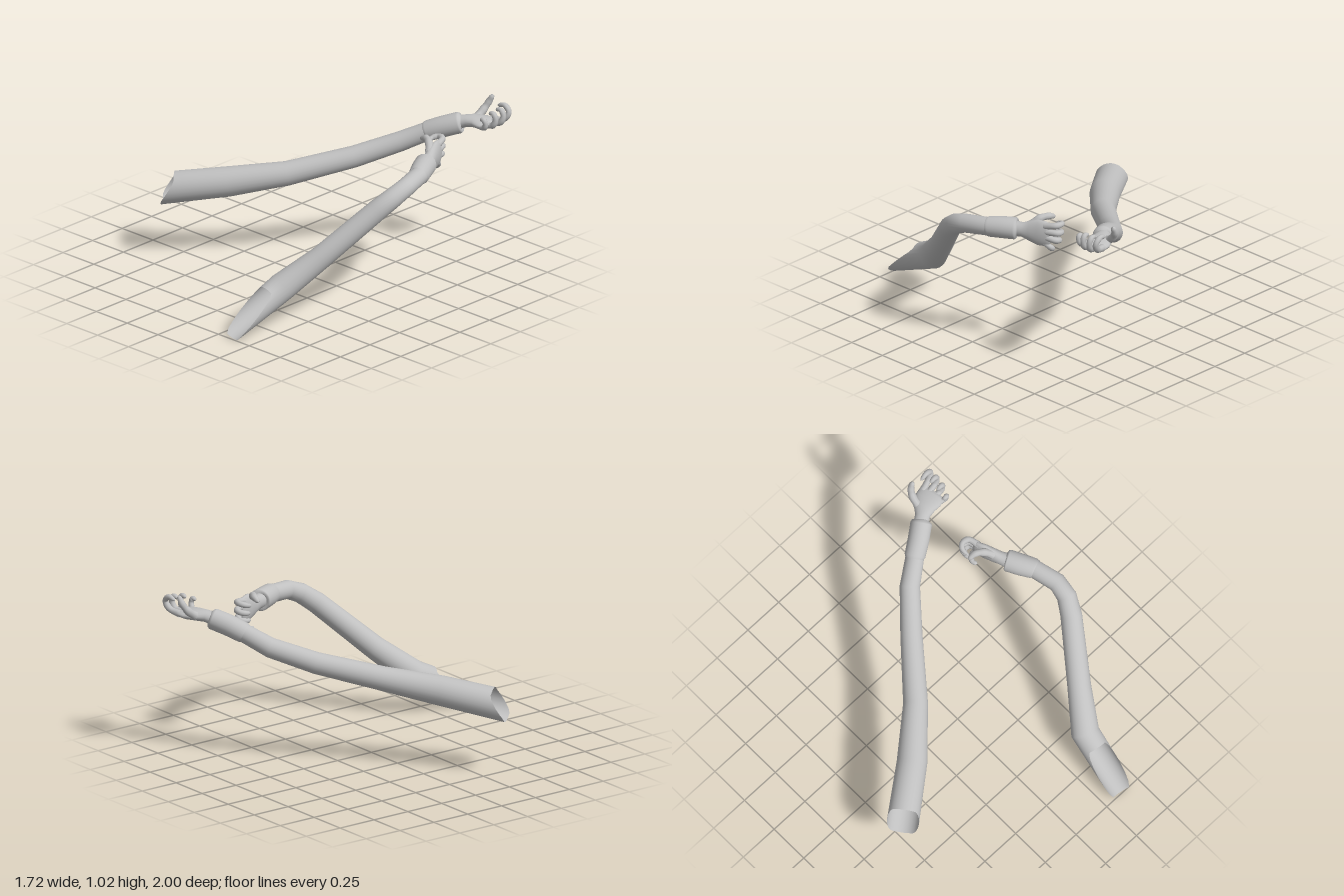
import * as THREE from 'three';

const V = (a) => new THREE.Vector3(a[0], a[1], a[2]);

// Skin through elliptical sections [x, y, z, half width, half height].
// cut slants the first rim: its upper half moves inwards, its lower half outwards.
function loft(sections, up, sides = 20, cut = 0) {
  const pos = [], index = [];
  const c = sections.map(V);
  sections.forEach((s, i) => {
    const a = c[Math.max(i - 1, 0)], b = c[Math.min(i + 1, c.length - 1)];
    const dir = b.clone().sub(a).normalize();
    const side = dir.clone().cross(up).normalize();
    const top = side.clone().cross(dir);
    const rw = s[3], rh = s[4] ?? s[3];
    for (let j = 0; j < sides; j++) {
      const t = (j / sides) * Math.PI * 2;
      const p = c[i].clone()
        .addScaledVector(side, Math.cos(t) * rw)
        .addScaledVector(top, Math.sin(t) * rh);
      if (i === 0 && cut) {
        p.addScaledVector(dir, cut * THREE.MathUtils.clamp(1.6 * Math.sin(t), -1, 1));
      }
      pos.push(p.x, p.y, p.z);
      if (i < sections.length - 1) {
        const k = (j + 1) % sides;
        const q = i * sides + j, r = i * sides + k;
        index.push(q, q + sides, r, r, q + sides, r + sides);
      }
    }
  });
  const g = new THREE.BufferGeometry();
  g.setAttribute('position', new THREE.Float32BufferAttribute(pos, 3));
  g.setIndex(index);
  g.computeVertexNormals();
  return g;
}

// Tapered finger along a smooth path, with a round tip
function finger(path, r0, r1) {
  const pts = path.map(V);
  const curve = new THREE.CatmullRomCurve3(pts);
  const up = pts[1].clone().sub(pts[0]).cross(pts[2].clone().sub(pts[1])).normalize();
  const n = 18, sections = [];
  for (let i = 0; i <= n; i++) {
    const t = i / n;
    const round = t > 0.82 ? Math.sqrt(Math.max(1 - ((t - 0.82) / 0.18) ** 2, 0.001)) : 1;
    const p = curve.getPoint(t);
    const joint = 1 + 0.06 * Math.cos(t * Math.PI * 6);
    sections.push([p.x, p.y, p.z, THREE.MathUtils.lerp(r0, r1, t) * round * joint]);
  }
  return loft(sections, up, 10);
}

const Y = new THREE.Vector3(0, 1, 0);

const rightArm = {
  name: 'rightArm',
  cut: 0.05,
  sleeve: [
    [-0.78, 0.45, 0.35, 0.095], [-0.5, 0.505, 0.135, 0.09], [-0.245, 0.56, -0.1, 0.073],
    [0.01, 0.65, -0.4, 0.065], [0.19, 0.738, -0.6, 0.06], [0.33, 0.818, -0.7, 0.055],
  ],
  cuff: [
    [0.315, 0.81, -0.69, 0.056], [0.325, 0.816, -0.697, 0.062], [0.4, 0.85, -0.745, 0.064],
    [0.475, 0.88, -0.8, 0.064], [0.485, 0.884, -0.806, 0.058], [0.486, 0.884, -0.807, 0.04],
  ],
  // palm faces up, fingers curl up and back
  palmUp: Y,
  palm: [
    [0.465, 0.88, -0.795, 0.045, 0.042], [0.51, 0.895, -0.825, 0.044, 0.036],
    [0.55, 0.9, -0.853, 0.066, 0.034], [0.6, 0.898, -0.872, 0.082, 0.03],
    [0.64, 0.9, -0.882, 0.08, 0.024], [0.66, 0.902, -0.886, 0.06, 0.014], [0.664, 0.902, -0.887, 0.001],
  ],
  fingers: {
    thumb: [[0.535, 0.9, -0.885], [0.54, 0.94, -0.94], [0.555, 0.985, -0.97], [0.58, 1.035, -0.98]],
    indexFinger: [[0.62, 0.9, -0.935], [0.69, 0.92, -0.96], [0.715, 0.965, -0.972], [0.68, 0.998, -0.972], [0.63, 0.985, -0.965]],
    middleFinger: [[0.625, 0.9, -0.9], [0.7, 0.912, -0.915], [0.718, 0.955, -0.922], [0.7, 0.987, -0.922], [0.66, 0.982, -0.918]],
    ringFinger: [[0.625, 0.897, -0.86], [0.69, 0.905, -0.862], [0.71, 0.945, -0.864], [0.695, 0.98, -0.862], [0.66, 0.975, -0.86]],
    littleFinger: [[0.615, 0.894, -0.822], [0.67, 0.9, -0.81], [0.685, 0.93, -0.804], [0.675, 0.955, -0.8], [0.65, 0.95, -0.798]],
  },
};

const leftArm = {
  name: 'leftArm',
  cut: 0.155,
  sleeve: [
    [0.385, 0.155, 0.88, 0.08], [0.42, 0.26, 0.64, 0.085], [0.555, 0.43, 0.45, 0.07],
    [0.755, 0.71, 0.175, 0.064], [0.8, 0.775, 0.09, 0.06], [0.81, 0.812, 0, 0.056], [0.765, 0.828, -0.165, 0.054],
  ],
  cuff: [
    [0.772, 0.828, -0.145, 0.056], [0.768, 0.829, -0.155, 0.061], [0.73, 0.833, -0.22, 0.065],
    [0.692, 0.836, -0.292, 0.066], [0.688, 0.836, -0.3, 0.06], [0.687, 0.836, -0.301, 0.04],
  ],
  // palm faces inwards, fingers curl inwards
  palmUp: new THREE.Vector3(-1, 0, 0),
  palm: [
    [0.692, 0.836, -0.29, 0.046, 0.044], [0.672, 0.835, -0.335, 0.045, 0.038],
    [0.655, 0.835, -0.375, 0.064, 0.036], [0.636, 0.835, -0.425, 0.083, 0.032],
    [0.616, 0.833, -0.475, 0.08, 0.025], [0.608, 0.833, -0.495, 0.06, 0.015], [0.606, 0.833, -0.499, 0.001],
  ],
  fingers: {
    thumb: [[0.645, 0.87, -0.375], [0.605, 0.91, -0.41], [0.56, 0.918, -0.435], [0.51, 0.9, -0.44]],
    indexFinger: [[0.622, 0.885, -0.465], [0.6, 0.898, -0.53], [0.56, 0.898, -0.54], [0.535, 0.89, -0.515], [0.535, 0.88, -0.475]],
    middleFinger: [[0.622, 0.85, -0.47], [0.595, 0.85, -0.535], [0.56, 0.845, -0.54], [0.54, 0.838, -0.51], [0.55, 0.832, -0.475]],
    ringFinger: [[0.622, 0.815, -0.465], [0.6, 0.803, -0.525], [0.565, 0.793, -0.53], [0.55, 0.787, -0.5], [0.56, 0.785, -0.465]],
    littleFinger: [[0.625, 0.782, -0.45], [0.605, 0.75, -0.49], [0.58, 0.73, -0.488], [0.565, 0.726, -0.46], [0.575, 0.73, -0.43]],
  },
};

export function createModel() {
  const grey = new THREE.MeshStandardMaterial({ color: 0xc0c0c0, side: THREE.DoubleSide });
  grey.name = 'plain grey';
  const model = new THREE.Group();
  model.name = 'pairOfArms';

  for (const arm of [rightArm, leftArm]) {
    const group = new THREE.Group();
    group.name = arm.name;
    const add = (name, geometry) => {
      const mesh = new THREE.Mesh(geometry, grey);
      mesh.name = name;
      group.add(mesh);
    };
    add('sleeve', loft(arm.sleeve, Y, 24, arm.cut));
    add('cuff', loft(arm.cuff, Y, 24));
    add('palm', loft(arm.palm, arm.palmUp, 24));
    for (const [name, path] of Object.entries(arm.fingers)) {
      const big = name === 'thumb';
      const small = name === 'littleFinger';
      add(name, finger(path, big ? 0.027 : small ? 0.018 : 0.021, big ? 0.016 : 0.014));
    }
    model.add(group);
  }
  return model;
}
